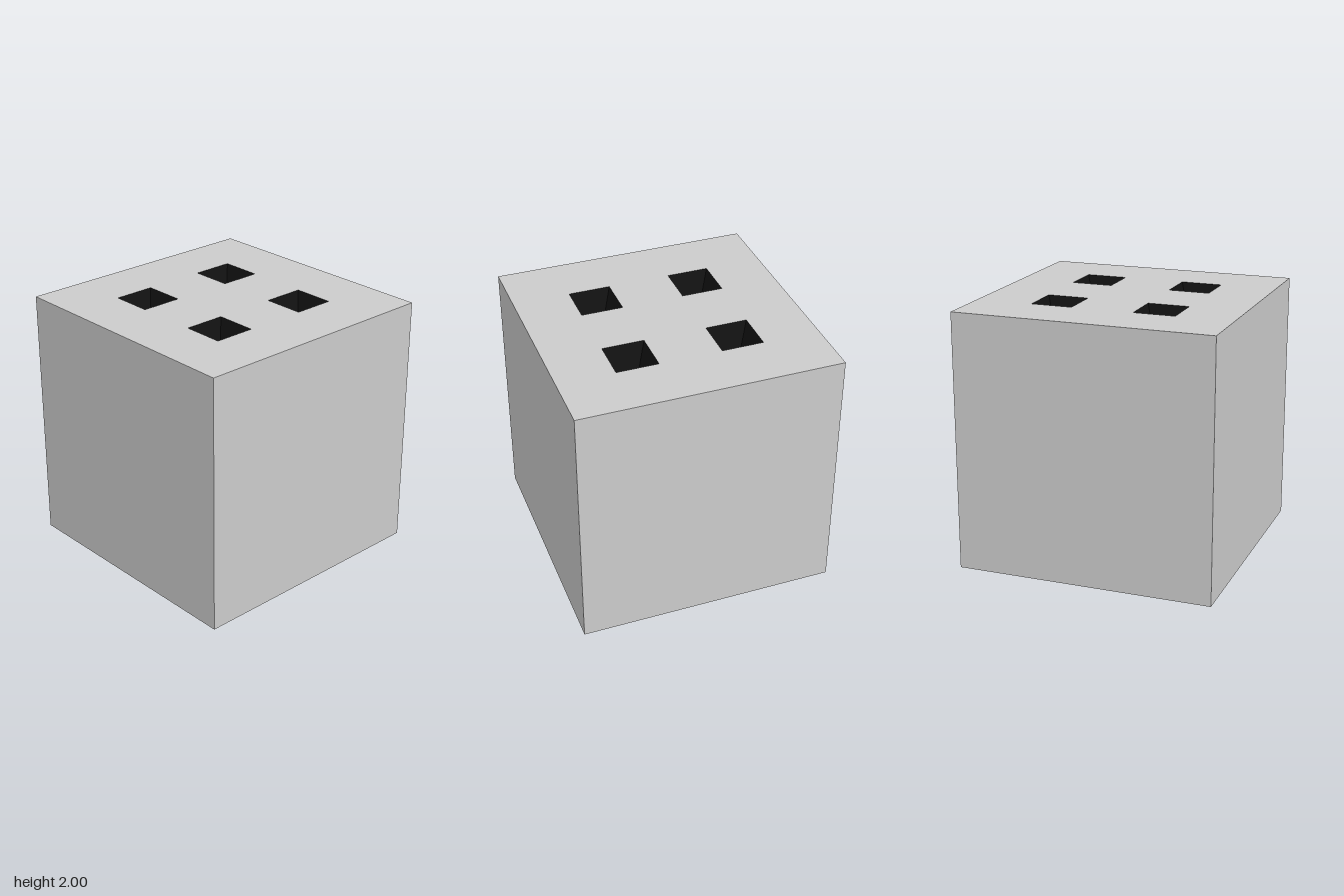
import * as THREE from 'three';

const SIZE = 2, PIT_HALF = 0.16, PIT_OFFSET = 0.4, PIT_DEPTH = 0.5;

// Square outline, corner by corner
function squarePoints(cx, cy, half) {
  return [[-1, -1], [1, -1], [1, 1], [-1, 1]].map(
    ([x, y]) => new THREE.Vector2(cx + x * half, cy + y * half));
}

export function createModel() {
  const model = new THREE.Group();
  const grey = new THREE.MeshStandardMaterial({ color: 0xcccccc });
  const dark = new THREE.MeshStandardMaterial({
    color: 0x111111, flatShading: true, side: THREE.DoubleSide });
  const centres = [];
  for (const x of [-1, 1]) for (const z of [-1, 1]) centres.push([x * PIT_OFFSET, z * PIT_OFFSET]);

  // Sides and bottom: a box without its top face
  const boxGeo = new THREE.BoxGeometry(SIZE, SIZE, SIZE);
  const index = Array.from(boxGeo.index.array);
  index.splice(12, 6);
  boxGeo.setIndex(index);
  boxGeo.clearGroups();
  const body = new THREE.Mesh(boxGeo, grey);
  body.name = 'body';
  body.position.y = SIZE / 2;
  model.add(body);

  // Top face with four square openings
  const outline = new THREE.Shape(squarePoints(0, 0, SIZE / 2));
  for (const [x, z] of centres) {
    outline.holes.push(new THREE.Path(squarePoints(x, -z, PIT_HALF).reverse()));
  }
  const top = new THREE.Mesh(new THREE.ShapeGeometry(outline), grey);
  top.name = 'topFace';
  top.rotation.x = -Math.PI / 2;
  top.position.y = SIZE;
  model.add(top);

  // Dark pits: inverted four-sided pyramids sunk below the openings
  const pitGeo = new THREE.ConeGeometry(PIT_HALF * Math.SQRT2, PIT_DEPTH, 4, 1, true);
  pitGeo.rotateY(Math.PI / 4).rotateX(Math.PI);
  const pits = new THREE.Group();
  pits.name = 'pits';
  for (const [x, z] of centres) {
    const pit = new THREE.Mesh(pitGeo, dark);
    pit.name = 'pit';
    pit.position.set(x, SIZE - PIT_DEPTH / 2, z);
    pits.add(pit);
  }
  model.add(pits);
  return model;
}
